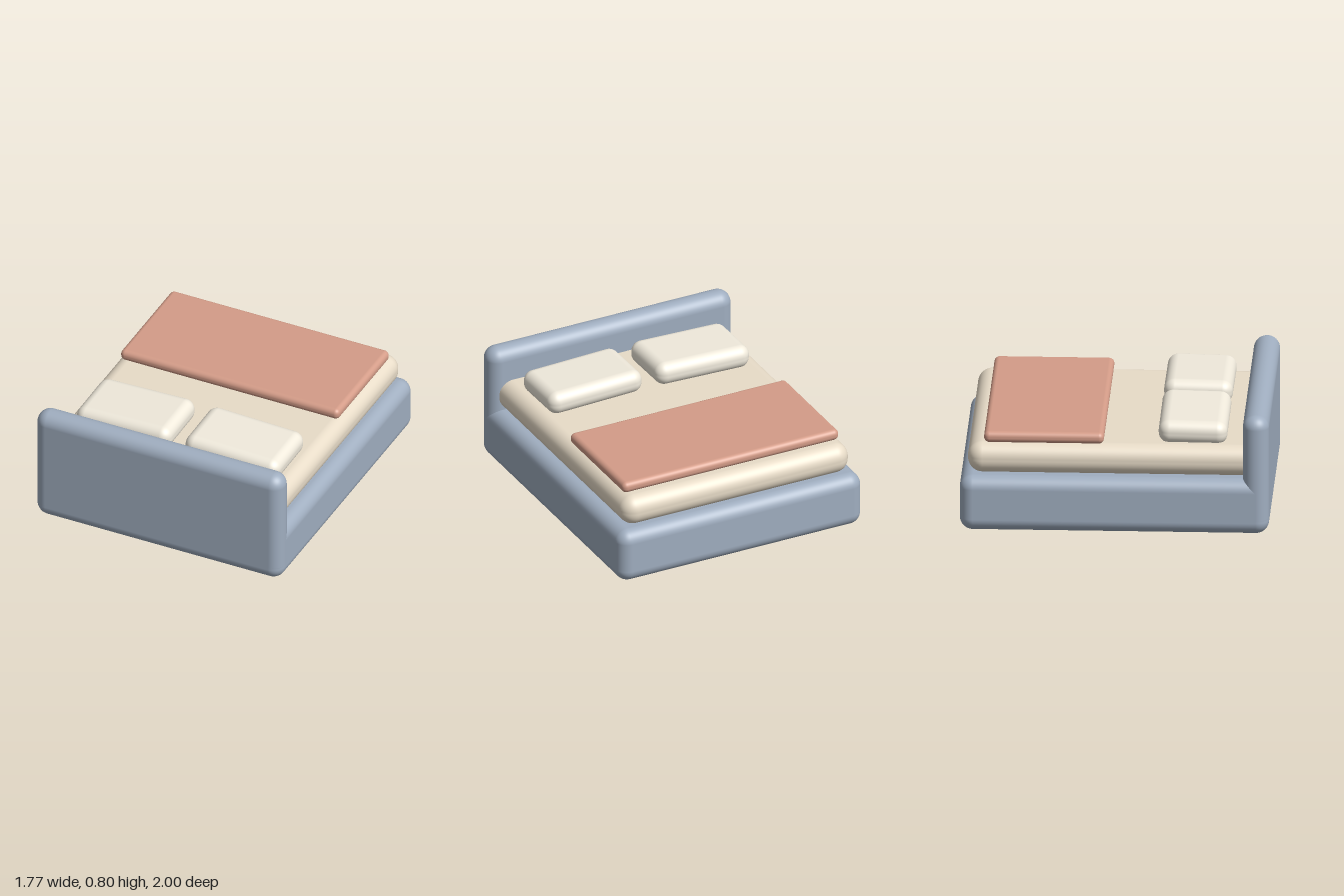
import * as THREE from 'three';
import { RoundedBoxGeometry } from 'three/addons/geometries/RoundedBoxGeometry.js';

const material = (color) => new THREE.MeshStandardMaterial({ color });

// Rounded block given by its extents along each axis
function block(name, [x0, x1], [y0, y1], [z0, z1], radius, mat) {
  const geometry = new RoundedBoxGeometry(x1 - x0, y1 - y0, z1 - z0, 6, radius);
  const mesh = new THREE.Mesh(geometry, mat);
  mesh.position.set((x0 + x1) / 2, (y0 + y1) / 2, (z0 + z1) / 2);
  mesh.name = name;
  return mesh;
}

export function createModel() {
  const bed = new THREE.Group();
  bed.name = 'bed';

  const upholstery = material(0xa0aec0);
  const linen = material(0xe8dcc8);
  const cotton = material(0xf0eadc);
  const wool = material(0xd49c88);

  // Upholstered base and headboard
  bed.add(block('bedBase', [-0.885, 0.885], [0, 0.37], [-1, 1], 0.085, upholstery));
  bed.add(block('headboard', [-0.885, 0.885], [0.02, 0.8], [0.83, 1], 0.084, upholstery));

  // Mattress, its head end tucked into the headboard
  bed.add(block('mattress', [-0.825, 0.825], [0.37, 0.575], [-0.95, 0.93], 0.095, linen));

  // Folded blanket over the foot end
  bed.add(block('blanket', [-0.785, 0.785], [0.575, 0.65], [-0.845, -0.07], 0.034, wool));

  // Pair of pillows, leaning slightly up towards the middle
  for (const side of [-1, 1]) {
    const pillow = block('pillow', [-0.34, 0.34], [0.565, 0.72], [0.28, 0.725], 0.07, cotton);
    pillow.name = side > 0 ? 'leftPillow' : 'rightPillow';
    pillow.position.x = side * 0.39;
    pillow.rotation.set(0.02, 0, -side * 0.03);
    bed.add(pillow);
  }

  return bed;
}
